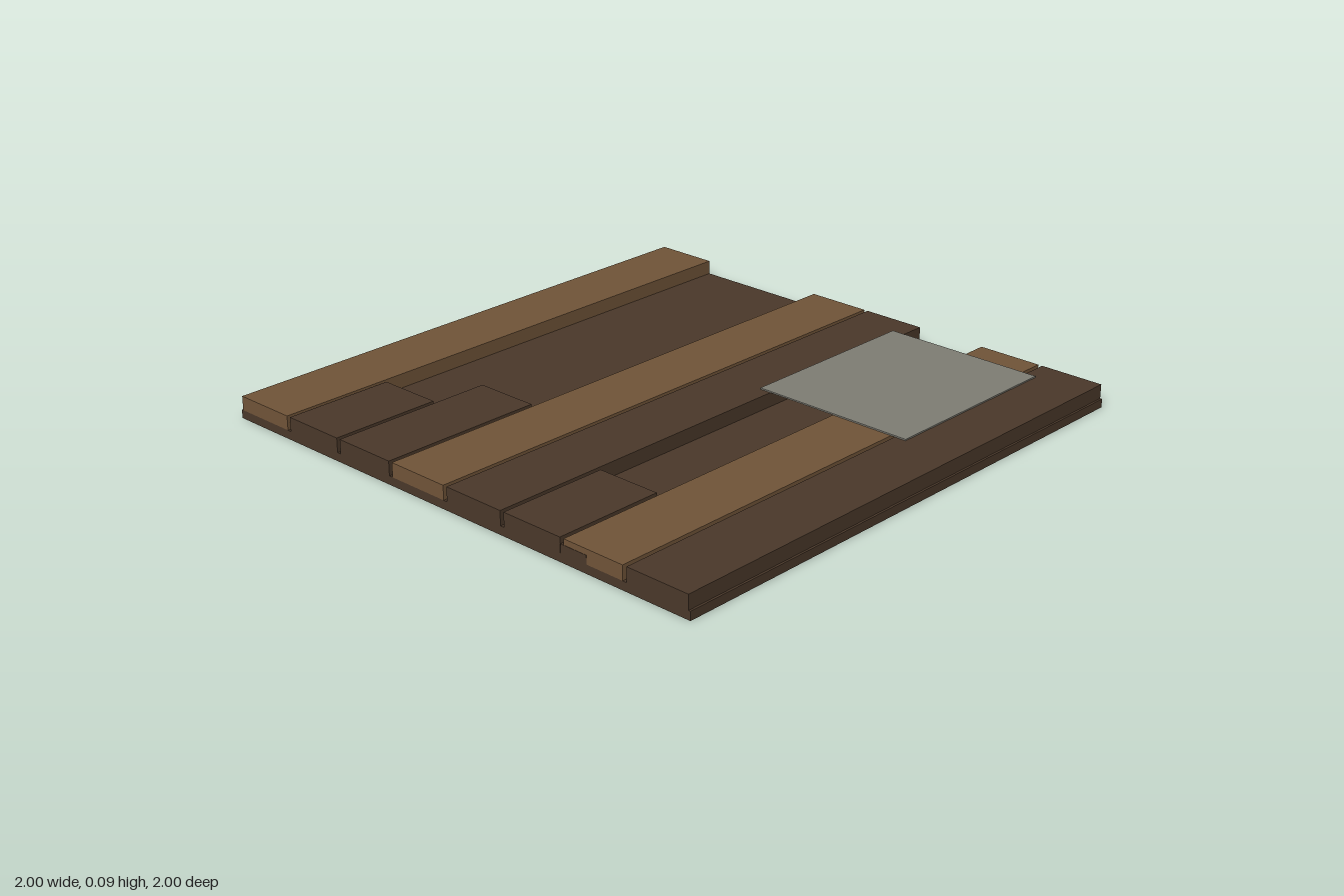
import * as THREE from 'three';

export function createModel() {
  const group = new THREE.Group();
  const paint = (name, color) => {
    const m = new THREE.MeshStandardMaterial({ color });
    m.name = name;
    return m;
  };
  const darkWood = paint('darkWood', 0x4a382a);
  const lightWood = paint('lightWood', 0x705438);
  const greyCloth = paint('greyCloth', 0x7d7c73);

  // Box given by its lower and upper limits on each axis
  const box = (name, material, [x0, x1], [y0, y1], [z0, z1]) => {
    const mesh = new THREE.Mesh(new THREE.BoxGeometry(x1 - x0, y1 - y0, z1 - z0), material);
    mesh.position.set((x0 + x1) / 2, (y0 + y1) / 2, (z0 + z1) / 2);
    mesh.name = name;
    group.add(mesh);
  };

  // Subfloor
  box('subfloor', darkWood, [-1, 1], [0, 0.03], [-1, 1]);

  // Planks from back to front; broken ones stop short on the right
  const ends = [1, -0.6, -0.4, 1, 1, -0.6, 1, 1];
  ends.forEach((end, i) => {
    const z = -0.875 + 0.25 * i;
    box(`plank${i + 1}`, i % 3 === 0 ? lightWood : darkWood, [-1, end], [0.03, 0.08], [z - 0.1175, z + 0.1175]);
  });

  // Low batten under the edge of the front light plank
  box('batten', darkWood, [-1.001, 1.001], [0.03, 0.06], [0.495, 0.6]);

  // Thin mat lying over the broken plank
  box('mat', greyCloth, [0.2, 0.9], [0.08, 0.085], [0.2, 0.8]);

  return group;
}
